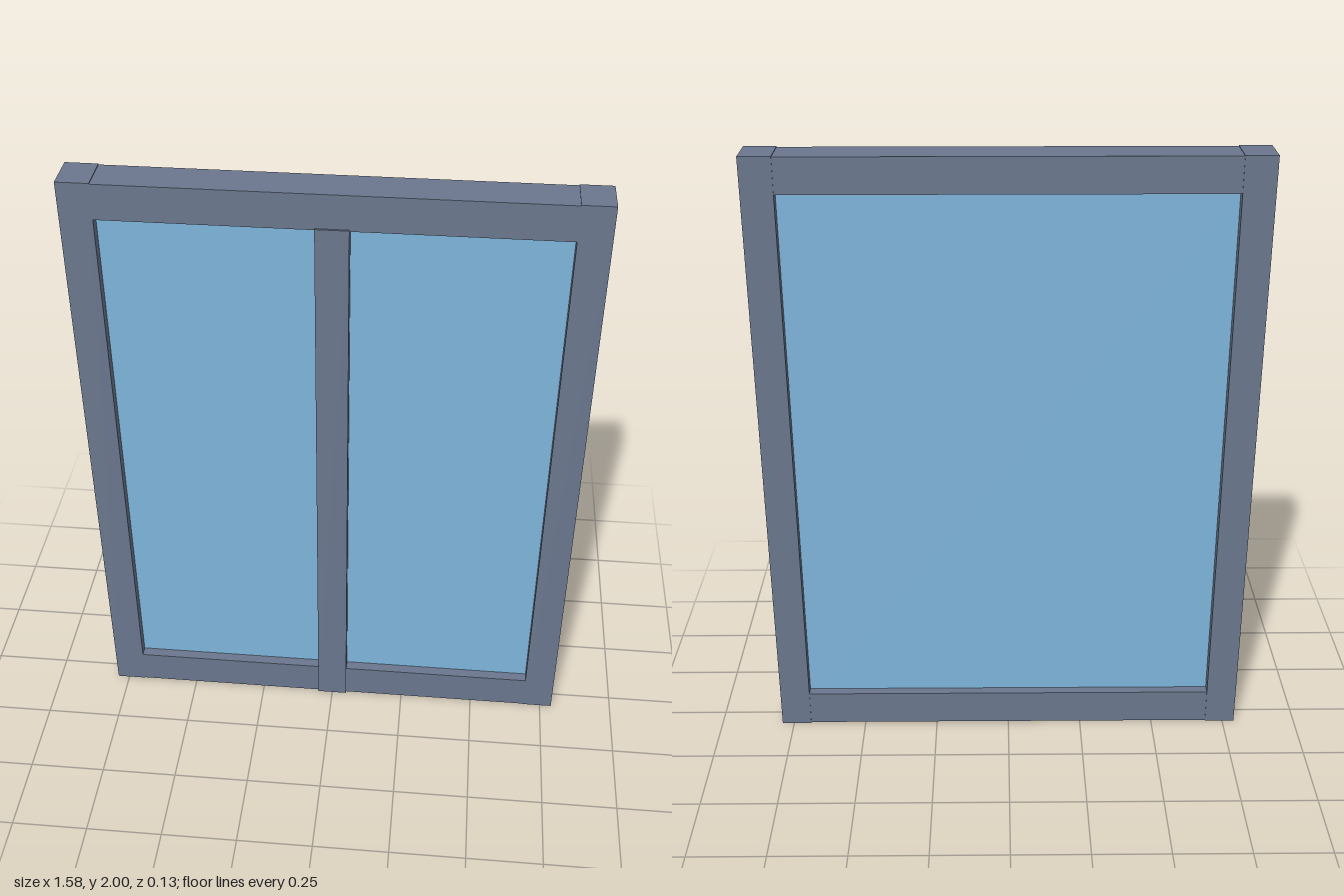
import * as THREE from 'three';

export function createModel() {
  const group = new THREE.Group();
  const frame = new THREE.MeshStandardMaterial({ color: 0x6b778e });
  const glass = new THREE.MeshStandardMaterial({ color: 0x7fb5db });

  // Box given by its minimum and maximum corners
  function box(name, material, [x0, y0, z0], [x1, y1, z1]) {
    const mesh = new THREE.Mesh(new THREE.BoxGeometry(x1 - x0, y1 - y0, z1 - z0), material);
    mesh.position.set((x0 + x1) / 2, (y0 + y1) / 2, (z0 + z1) / 2);
    mesh.name = name;
    group.add(mesh);
  }

  // Side stiles, a hair proud of the rails
  box('leftStile', frame, [0.69, 0, -0.066], [0.79, 2, 0.06]);
  box('rightStile', frame, [-0.79, 0, -0.066], [-0.69, 2, 0.06]);

  // Top and bottom rails between the stiles
  box('topRail', frame, [-0.69, 1.885, -0.064], [0.69, 1.998, 0.06]);
  box('bottomRail', frame, [-0.69, 0.002, -0.064], [0.69, 0.12, 0.06]);

  // Central mullion on the front only, lapping over the bottom rail
  box('mullion', frame, [-0.05, 0, 0.02], [0.05, 1.89, 0.066]);

  // Glass pane, whose lower edge shows underneath the frame
  box('glassPane', glass, [-0.74, -0.001, -0.032], [0.74, 1.94, 0.026]);

  return group;
}
